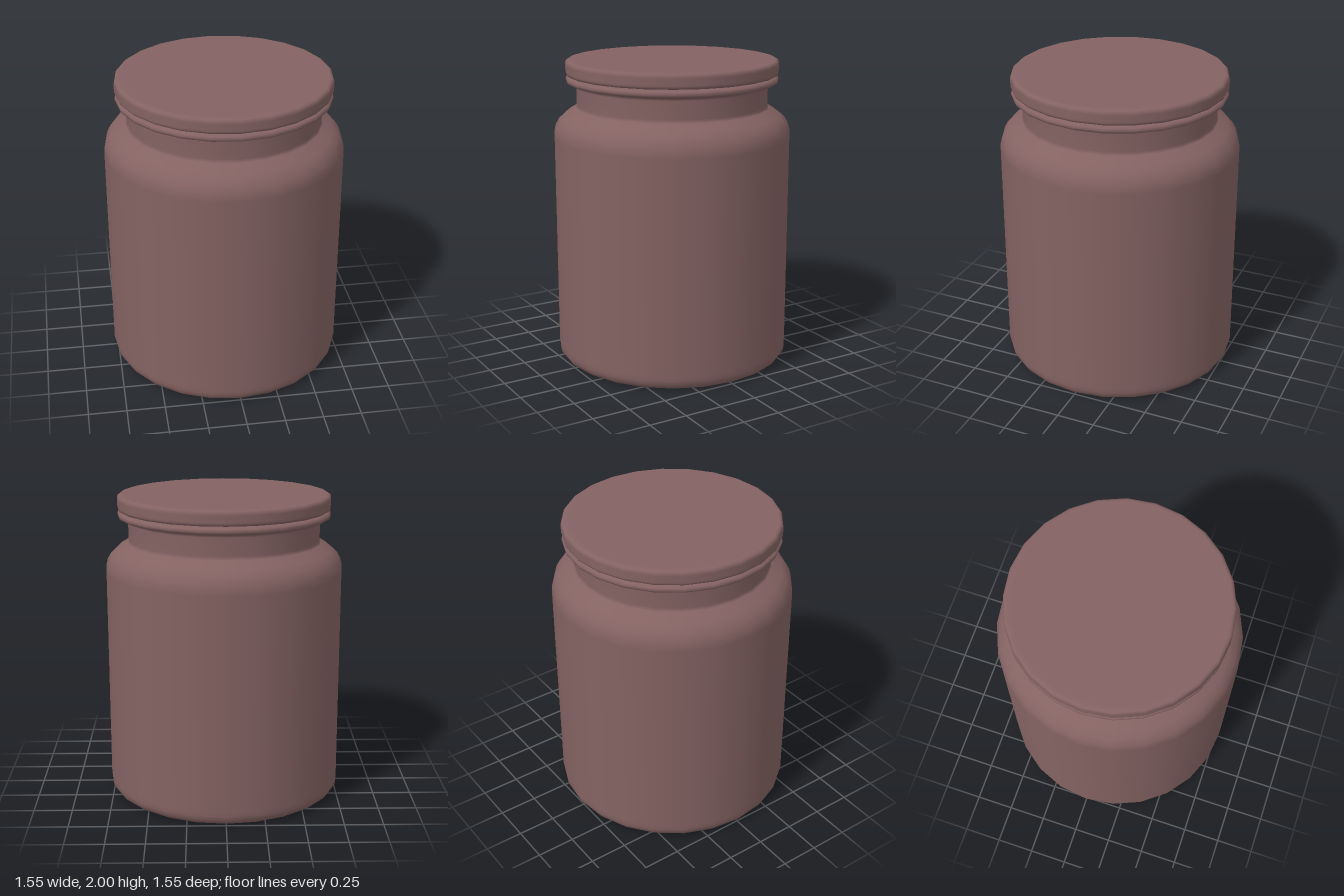
import * as THREE from 'three';

const SIDES = 24;

// Turns a profile of [radius, height] pairs into a smooth 24-sided solid.
function turned(name, profile, material) {
  const points = profile.map(([r, y]) => new THREE.Vector2(r, y));
  const mesh = new THREE.Mesh(new THREE.LatheGeometry(points, SIDES), material);
  mesh.name = name;
  return mesh;
}

// Rounded corner of a profile, from angle a to angle b in degrees.
function corner(r, y, rx, ry, a, b, steps = 4) {
  return Array.from({ length: steps + 1 }, (_, i) => {
    const t = THREE.MathUtils.degToRad(a + ((b - a) * i) / steps);
    return [r + rx * Math.cos(t), y + ry * Math.sin(t)];
  });
}

export function createModel() {
  const model = new THREE.Group();
  model.name = 'jarWithLid';
  const clay = new THREE.MeshStandardMaterial({ color: 0x846262 });

  // Hollow jar: base, wall, shoulder, neck and rim, then back down the inside
  model.add(turned('jar', [
    [0, 0], [0.68, 0],
    ...corner(0.705, 0.07, 0.071, 0.07, -90, 0),
    [0.776, 0.1], [0.776, 1.5],
    [0.775, 1.53], [0.765, 1.57], [0.742, 1.61], [0.705, 1.645], [0.635, 1.688],
    [0.627, 1.695], [0.626, 1.71], [0.626, 1.825],
    [0.629, 1.838], [0.64, 1.845], [0.66, 1.847],
    ...corner(0.67, 1.872, 0.025, 0.023, -80, 75),
    [0.66, 1.895], [0.6, 1.895], [0.59, 1.893], [0.585, 1.88],
    [0.585, 1.7], [0.71, 1.58], [0.72, 1.5], [0.72, 0.1], [0.68, 0.06], [0, 0.06],
  ], clay));

  const lid = new THREE.Group();
  lid.name = 'lid';
  // Lid disc with rounded edges
  lid.add(turned('lidDisc', [
    [0, 1.902], [0.66, 1.902],
    ...corner(0.675, 1.922, 0.02, 0.02, -90, 0),
    [0.695, 1.93], [0.695, 1.97],
    ...corner(0.67, 1.975, 0.025, 0.025, 0, 90),
    [0.65, 2], [0, 2],
  ], clay));
  // Stopper that sits inside the neck
  lid.add(turned('lidStopper', [
    [0, 1.8], [0.55, 1.8], [0.565, 1.805], [0.57, 1.82], [0.57, 1.91],
  ], clay));
  model.add(lid);

  return model;
}
